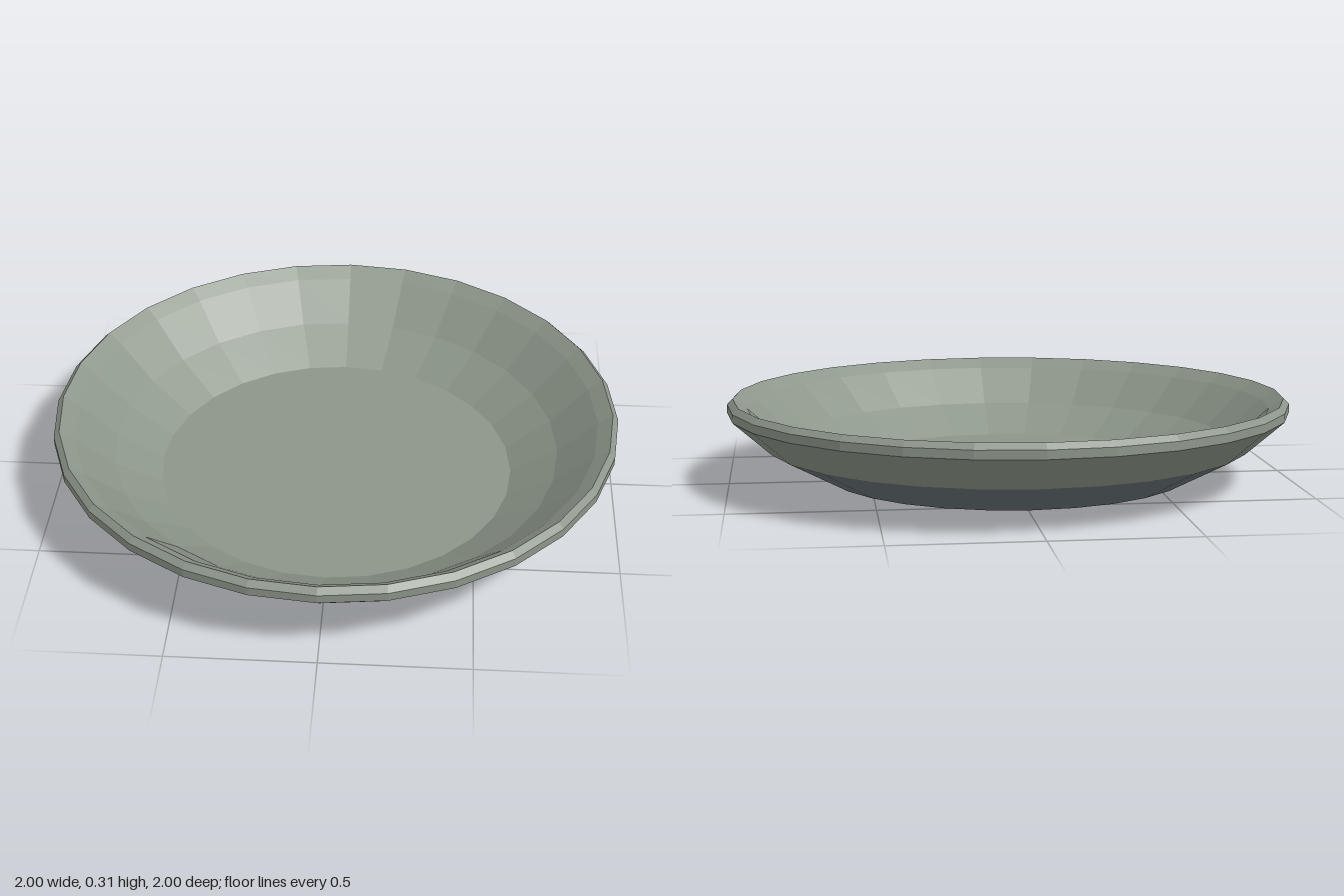
import * as THREE from 'three';

const SIDES = 28;
const glaze = new THREE.MeshStandardMaterial({ color: 0x8d968a });
glaze.name = 'paleGreenGlaze';
const slate = new THREE.MeshStandardMaterial({ color: 0x687378 });
slate.name = 'slateUnderside';

// Faceted ring surface turned from a list of [radius, height] points
function turned(name, profile, material) {
  const points = profile.map(([r, y]) => new THREE.Vector2(r, y));
  const geometry = new THREE.LatheGeometry(points, SIDES).toNonIndexed();
  geometry.computeVertexNormals();
  const mesh = new THREE.Mesh(geometry, material);
  mesh.name = name;
  return mesh;
}

// Flat disc facing up (direction 1) or down (direction -1)
function disc(name, radius, y, direction, material) {
  const geometry = new THREE.CircleGeometry(radius, SIDES);
  geometry.rotateX(-direction * Math.PI / 2);
  const mesh = new THREE.Mesh(geometry, material);
  mesh.name = name;
  mesh.position.y = y;
  return mesh;
}

export function createModel() {
  const dish = new THREE.Group();
  dish.name = 'dish';
  dish.add(
    // Underside: small centre spot, shallow base and lower wall
    disc('baseSpot', 0.1, 0, -1, glaze),
    turned('underside', [[0.1, 0], [0.65, 0.02], [0.865, 0.135]], slate),
    // Upper outer wall and bevelled rim
    turned('outerWall', [[0.865, 0.135], [1, 0.255]], glaze),
    turned('rim', [[1, 0.255], [1, 0.285], [0.98, 0.305]], glaze),
    // Hollow inside, from the rim down to the flat floor
    turned('innerWall', [[0.98, 0.305], [0.93, 0.27], [0.795, 0.145], [0.633, 0.045]], glaze),
    disc('floor', 0.633, 0.045, 1, glaze),
  );
  return dish;
}
